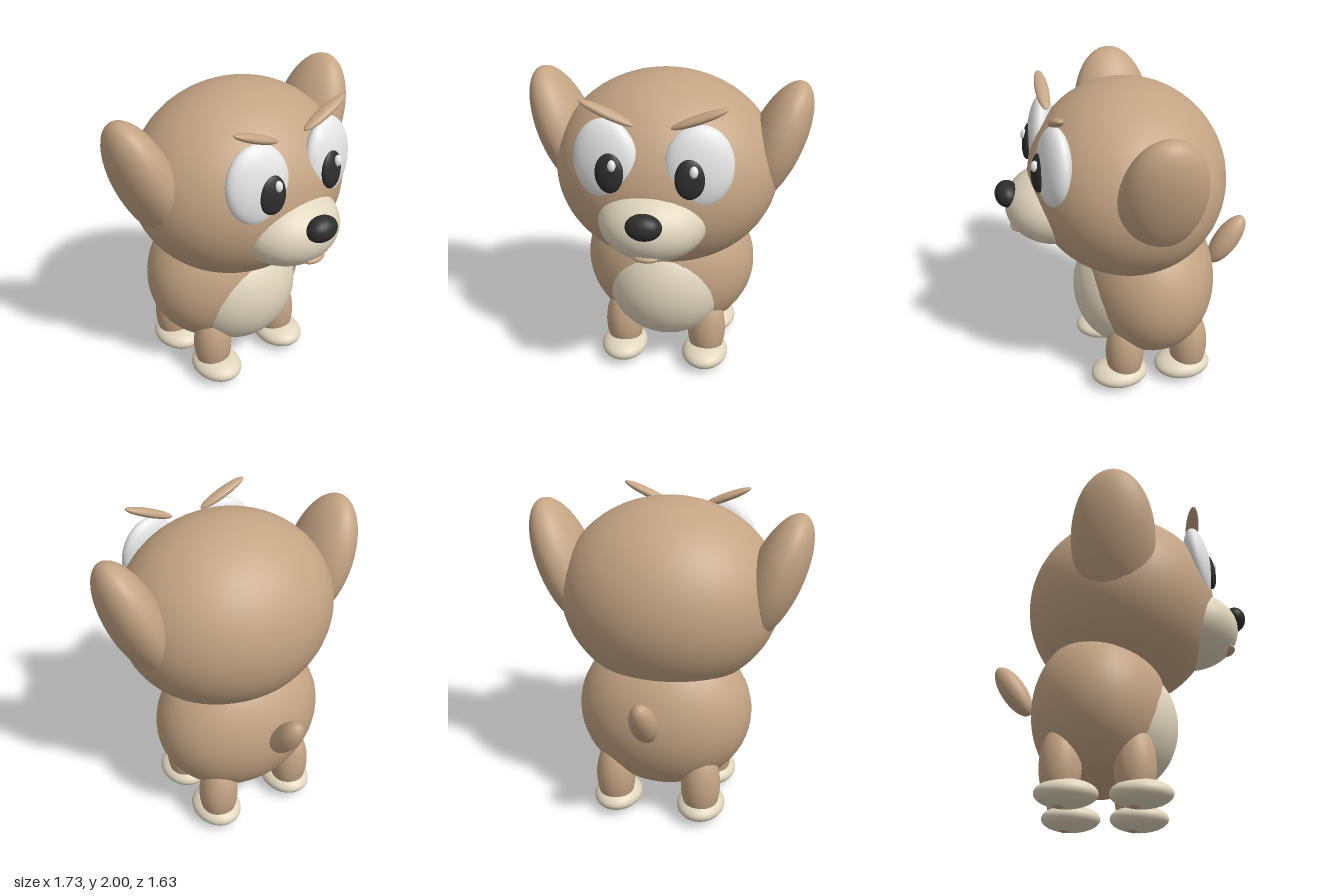
import * as THREE from 'three';

const flat = (name, color) => {
  const m = new THREE.MeshStandardMaterial({ color });
  m.name = name;
  return m;
};

export function createModel() {
  const tan = flat('tan fur', 0xc4a484);
  const cream = flat('cream fur', 0xe0d5bd);
  const white = flat('eye white', 0xececec);
  const black = flat('black', 0x2e2e2e);

  const model = new THREE.Group();
  model.name = 'puppy';
  const ball = new THREE.SphereGeometry(1, 48, 32);

  // Every part is an ellipsoid: centre, radii and rotation
  function blob(name, material, centre, radii, rotation = [0, 0, 0]) {
    const mesh = new THREE.Mesh(ball, material);
    mesh.name = name;
    mesh.position.set(...centre);
    mesh.scale.set(...radii);
    mesh.rotation.set(...rotation);
    model.add(mesh);
  }

  // Trunk and head
  blob('body', tan, [0, 0.67, -0.14], [0.555, 0.515, 0.43]);
  blob('belly', cream, [0, 0.59, 0], [0.4, 0.4, 0.35]);
  blob('head', tan, [0, 1.4, 0], [0.69, 0.6, 0.61]);
  blob('tail', tan, [0, 0.84, -0.69], [0.084, 0.193, 0.08], [-0.59, 0, 0]);

  // Snout
  blob('muzzle', cream, [0, 1.265, 0.45], [0.325, 0.235, 0.31]);
  blob('nose', black, [0, 1.358, 0.74], [0.104, 0.077, 0.075]);
  blob('mouth', tan, [0, 1.135, 0.685], [0.08, 0.027, 0.05]);

  for (const [side, s] of [['left', 1], ['right', -1]]) {
    // Ears lean outwards
    blob(side + 'Ear', tan, [s * 0.65, 1.567, -0.057], [0.165, 0.425, 0.256], [0, 0, -s * 0.367]);

    // Eyes and brows; both glints sit on the same side of the pupils
    const gaze = [-0.12, s * 0.2, 0];
    blob(side + 'Eye', white, [s * 0.268, 1.63, 0.487], [0.198, 0.242, 0.082], gaze);
    blob(side + 'Pupil', black, [s * 0.23, 1.59, 0.567], [0.087, 0.12, 0.038], gaze);
    blob(side + 'Glint', white, [s * 0.23 + 0.024, 1.645, 0.593], [0.024, 0.034, 0.022], gaze);
    blob(side + 'Brow', tan, [s * 0.26, 1.902, 0.462], [0.17, 0.027, 0.042], [0, 0, s * 0.4]);

    // Legs and paws
    for (const [end, legZ, pawZ] of [['Front', 0.075, 0.11], ['Back', -0.358, -0.322]]) {
      blob(side + end + 'Leg', tan, [s * 0.28, 0.25, legZ], [0.125, 0.25, 0.125]);
      blob(side + end + 'Paw', cream, [s * 0.277, 0.086, pawZ], [0.153, 0.08, 0.187]);
    }
  }
  return model;
}
